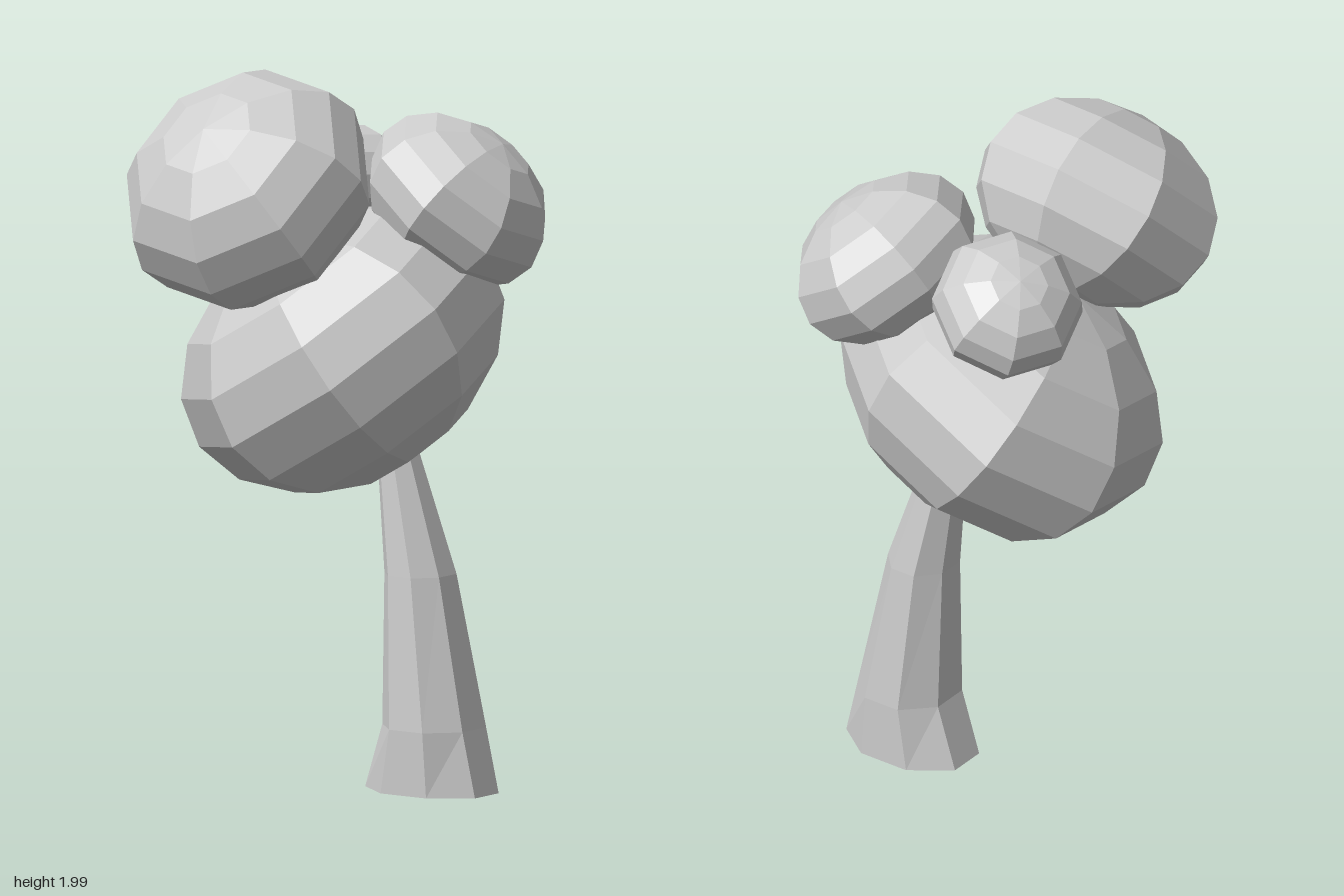
import * as THREE from 'three';

const material = new THREE.MeshStandardMaterial({ color: 0xcccccc, flatShading: true });

// Trunk rings: height, centre x, centre z, half width, half depth
const trunkRings = [
  [0, 0.245, -0.135, 0.185, 0.135],
  [0.18, 0.255, -0.132, 0.135, 0.135],
  [0.6, 0.21, -0.13, 0.092, 0.1],
  [0.92, 0.145, -0.12, 0.055, 0.06],
  [1.1, 0.1, -0.11, 0.045, 0.045],
];

// Eight-sided leaning trunk that flares at the foot
function makeTrunk() {
  const last = trunkRings.length - 1;
  const geometry = new THREE.CylinderGeometry(1, 1, 1, 8, last);
  geometry.rotateY(Math.PI / 8);
  const p = geometry.attributes.position;
  const flat = Math.cos(Math.PI / 8);
  for (let i = 0; i < p.count; i++) {
    const [y, cx, cz, rx, rz] = trunkRings[Math.round((p.getY(i) + 0.5) * last)];
    p.setXYZ(i, cx + (p.getX(i) * rx) / flat, y, cz + (p.getZ(i) * rz) / flat);
  }
  geometry.computeVertexNormals();
  const mesh = new THREE.Mesh(geometry, material);
  mesh.name = 'trunk';
  return mesh;
}

// Flattened low-poly ball of leaves whose short axis is tilted
function makeFoliage(name, centre, radius, halfHeight, axis, rollDegrees) {
  const geometry = new THREE.SphereGeometry(1, 8, 8);
  geometry.rotateY(THREE.MathUtils.degToRad(rollDegrees));
  geometry.scale(radius, halfHeight, radius);
  const mesh = new THREE.Mesh(geometry, material);
  mesh.name = name;
  mesh.position.set(...centre);
  mesh.quaternion.setFromUnitVectors(
    new THREE.Vector3(0, 1, 0),
    new THREE.Vector3(...axis).normalize()
  );
  return mesh;
}

export function createModel() {
  const tree = new THREE.Group();
  tree.name = 'tree';
  tree.add(
    makeTrunk(),
    makeFoliage('mainFoliage', [-0.02, 1.205, -0.085], 0.485, 0.36, [-0.45, 0.8, 0.35], -15),
    makeFoliage('frontFoliage', [-0.115, 1.68, 0.228], 0.365, 0.272, [-0.05, 0.7, 0.7], 8),
    makeFoliage('backLeftFoliage', [0.235, 1.62, -0.27], 0.28, 0.205, [0.58, 0.77, -0.22], -30),
    makeFoliage('backRightFoliage', [-0.18, 1.62, -0.275], 0.212, 0.16, [-0.5, 0.8, -0.3], -4)
  );
  return tree;
}
